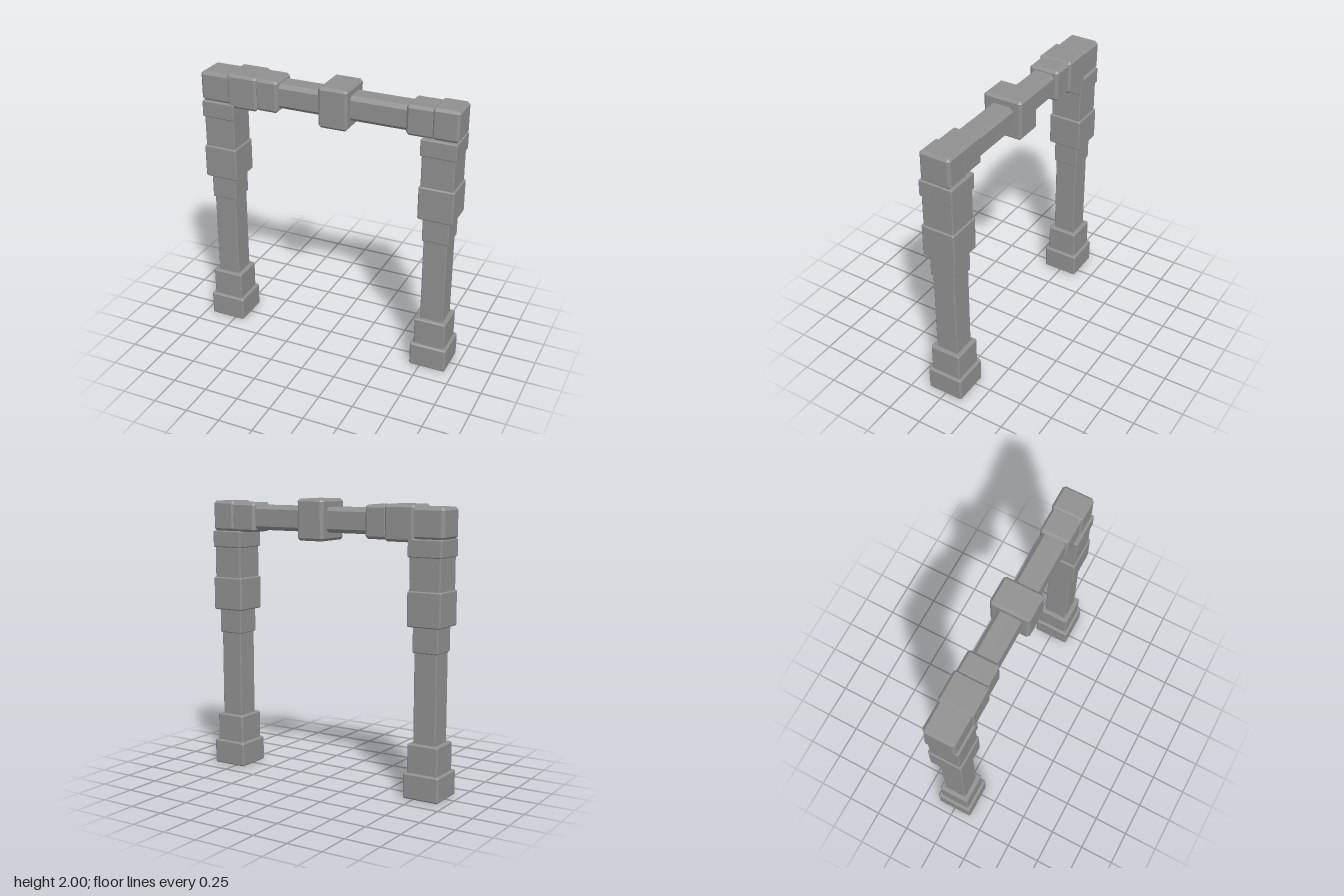
import * as THREE from 'three';
import { ConvexGeometry } from 'three/addons/geometries/ConvexGeometry.js';

const stone = new THREE.MeshStandardMaterial({ color: 0x909090 });
stone.name = 'greyStone';

// Box with all edges and corners cut at 45 degrees
function chamferBox(name, w, h, d, c) {
  const half = [w / 2, h / 2, d / 2];
  const points = [];
  for (const sx of [-1, 1]) for (const sy of [-1, 1]) for (const sz of [-1, 1]) {
    for (let axis = 0; axis < 3; axis++) {
      const p = half.map((v, i) => (i === axis ? v : v - c));
      points.push(new THREE.Vector3(p[0] * sx, p[1] * sy, p[2] * sz));
    }
  }
  const mesh = new THREE.Mesh(new ConvexGeometry(points), stone);
  mesh.name = name;
  return mesh;
}

// Pillar sections: name, bottom, top, width, chamfer
const pillarParts = [
  ['base', 0, 0.18, 0.267, 0.01],
  ['plinth', 0.17, 0.38, 0.227, 0.008],
  ['shaft', 0.37, 1.01, 0.168, 0.006],
  ['collar', 1.0, 1.18, 0.188, 0.006],
  ['lowerBlock', 1.175, 1.415, 0.248, 0.008],
  ['upperBlock', 1.405, 1.645, 0.228, 0.006],
  ['capital', 1.635, 1.755, 0.248, 0.006],
];

// Lintel sections: name, left x, right x, bottom, top, depth, chamfer
const lintelParts = [
  ['beam', -0.75, 0.78, 1.77, 1.945, 0.172, 0.026],
  ['rightCorner', -0.942, -0.7, 1.75, 1.963, 0.228, 0.02],
  ['rightWideBlock', -0.732, -0.505, 1.732, 1.977, 0.246, 0.018],
  ['rightNarrowBlock', -0.52, -0.352, 1.742, 1.97, 0.222, 0.018],
  ['keystone', -0.036, 0.175, 1.712, 2.0, 0.286, 0.018],
  ['leftNarrowBlock', 0.57, 0.77, 1.752, 1.962, 0.206, 0.018],
  ['leftCorner', 0.75, 0.935, 1.755, 1.972, 0.224, 0.018],
];

export function createModel() {
  const model = new THREE.Group();
  model.name = 'stoneGateway';

  // Two matching pillars
  for (const side of [-1, 1]) {
    const pillar = new THREE.Group();
    pillar.name = side < 0 ? 'rightPillar' : 'leftPillar';
    pillar.position.x = side * 0.808;
    for (const [name, bottom, top, width, c] of pillarParts) {
      const part = chamferBox(name, width, top - bottom, width, c);
      part.position.y = (bottom + top) / 2;
      pillar.add(part);
    }
    model.add(pillar);
  }

  // Lintel of uneven blocks along a bevelled beam
  const lintel = new THREE.Group();
  lintel.name = 'lintel';
  lintel.position.z = -0.003;
  for (const [name, x0, x1, y0, y1, depth, c] of lintelParts) {
    const part = chamferBox(name, x1 - x0, y1 - y0, depth, c);
    part.position.set((x0 + x1) / 2, (y0 + y1) / 2, 0);
    lintel.add(part);
  }
  model.add(lintel);
  return model;
}
